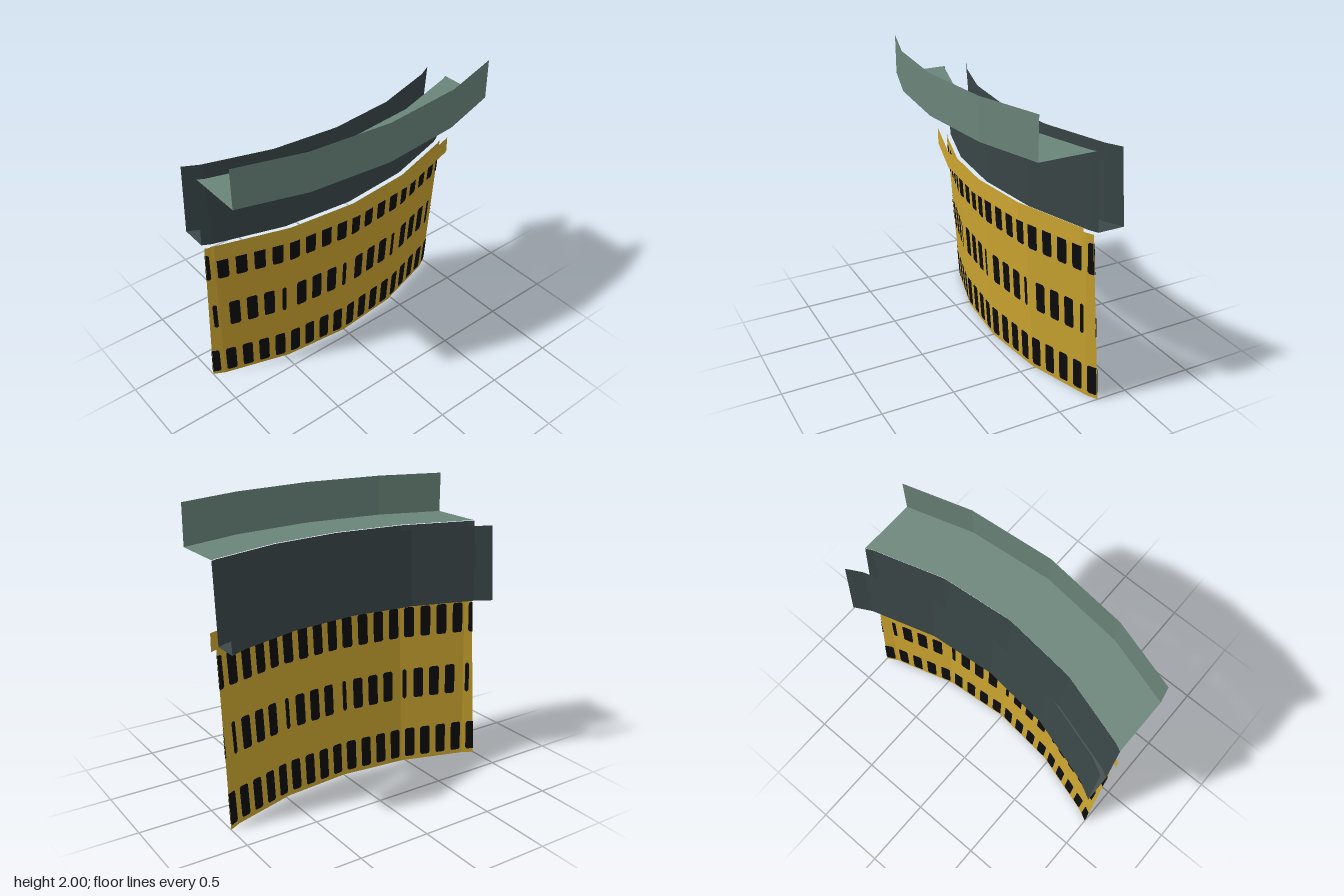
import * as THREE from 'three';

const STEP = Math.PI / 16;   // angle of one facet
const CENTRE_Z = -2.47;      // all arcs share this axis

const paint = (name, color) => {
  const m = new THREE.MeshStandardMaterial({ color, side: THREE.DoubleSide, flatShading: true });
  m.name = name;
  return m;
};

// Point on facet k at fraction u, for an arc of the given radius, kept within x = -1..1
function arcPoint(radius, k, u, y) {
  const a = k * STEP, b = (k + 1) * STEP;
  const xa = radius * Math.sin(a), xb = radius * Math.sin(b);
  const lo = (-1 - xa) / (xb - xa), hi = (1 - xa) / (xb - xa);
  const t = Math.min(Math.max(u, lo), hi);
  const z = radius * THREE.MathUtils.lerp(Math.cos(a), Math.cos(b), t);
  return [THREE.MathUtils.lerp(xa, xb, t), y, CENTRE_Z + z];
}

// Faceted strip between two arcs, each given as [radius, height]
function band(name, [r0, y0], [r1, y1], material) {
  const pos = [];
  for (let k = -3; k < 3; k++) {
    const a = arcPoint(r0, k, 0, y0), b = arcPoint(r0, k, 1, y0);
    const c = arcPoint(r1, k, 1, y1), d = arcPoint(r1, k, 0, y1);
    pos.push(...a, ...b, ...c, ...a, ...c, ...d);
  }
  const g = new THREE.BufferGeometry();
  g.setAttribute('position', new THREE.Float32BufferAttribute(pos, 3));
  g.computeVertexNormals();
  const mesh = new THREE.Mesh(g, material);
  mesh.name = name;
  return mesh;
}

export function createModel() {
  const yellow = paint('yellow', 0xcca530);
  const black = paint('black', 0x0c0c0c);
  const green = paint('grey green', 0x6b857a);
  const dark = paint('dark slate', 0x3a4748);
  const model = new THREE.Group();
  model.name = 'curvedFacade';

  // Leaning wall and the vertical rail in front of its top edge
  const wallRadius = (y) => 2.409 + 0.0715 * y;
  model.add(
    band('wall', [wallRadius(0), 0], [wallRadius(1.2), 1.2], yellow),
    band('rail', [2.56, 1.14], [2.56, 1.26], yellow),
    // Open trough above the wall
    band('troughFront', [2.465, 1.205], [2.502, 1.72], dark),
    band('troughFloor', [2.305, 1.205], [2.465, 1.205], dark),
    band('troughBack', [2.305, 1.205], [2.342, 1.72], dark),
    // Ledge and upright parapet
    band('ledge', [2.502, 1.724], [2.862, 1.724], green),
    band('parapet', [2.862, 1.724], [2.862, 2], green),
  );

  // Window rows: [bottom, top, [centre, width] of each window across a facet]
  const full = [0.108, 0.36, 0.612, 0.862].map((c) => [c, 0.154]);
  const shifted = [[0.218, 0.154], [0.47, 0.154], [0.72, 0.154], [0.94, 0.06]];
  const rows = [[0.03, 0.245, full], [0.475, 0.692, shifted], [0.925, 1.14, full]];
  const windows = new THREE.Group();
  windows.name = 'windows';
  for (const [y0, y1, slots] of rows) {
    for (let k = -3; k < 3; k++) {
      for (const [c, w] of slots) {
        const u0 = c - w / 2, u1 = c + w / 2;
        const low = arcPoint(wallRadius(y0), k, u0, y0), high = arcPoint(wallRadius(y0), k, u1, y0);
        if (high[0] - low[0] < 0.005) continue;
        // Outline with cut corners, in facet fraction and height
        const cu = 0.022, cy = 0.012;
        const outline = [
          [u0 + cu, y0], [u1 - cu, y0], [u1, y0 + cy], [u1, y1 - cy],
          [u1 - cu, y1], [u0 + cu, y1], [u0, y1 - cy], [u0, y0 + cy],
        ];
        // One plate on each side of the wall
        for (const offset of [-0.004, 0.004]) {
          const ring = outline.map(([u, y]) => arcPoint(wallRadius(y) + offset, k, u, y));
          const pos = [];
          for (let i = 1; i < 7; i++) pos.push(...ring[0], ...ring[i], ...ring[i + 1]);
          const g = new THREE.BufferGeometry();
          g.setAttribute('position', new THREE.Float32BufferAttribute(pos, 3));
          g.computeVertexNormals();
          const pane = new THREE.Mesh(g, black);
          pane.name = 'window';
          windows.add(pane);
        }
      }
    }
  }
  model.add(windows);
  return model;
}
